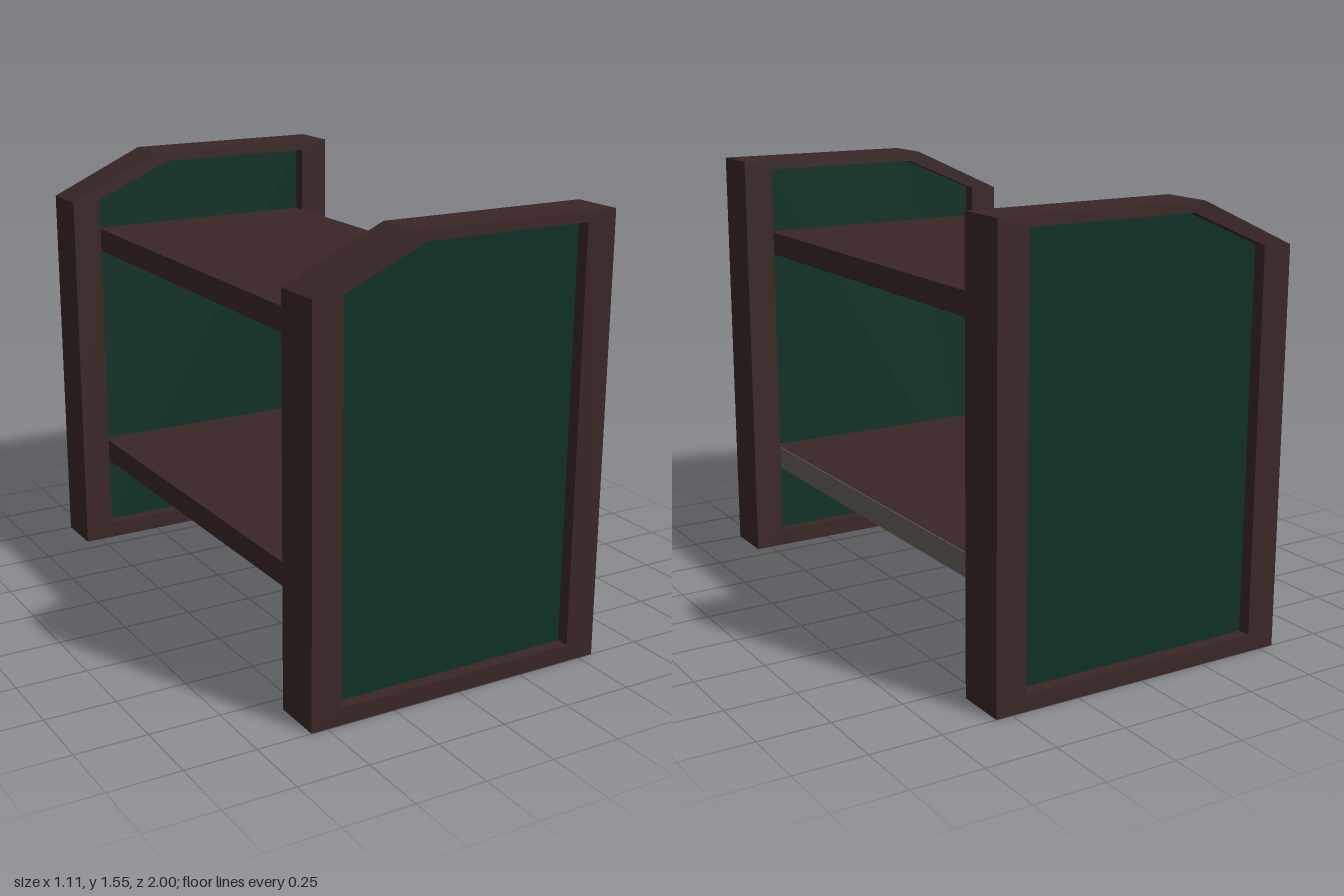
import * as THREE from 'three';

const wood = new THREE.MeshStandardMaterial({ name: 'dark brown wood', color: 0x3a2626 });
const felt = new THREE.MeshStandardMaterial({ name: 'dark green panel', color: 0x0f3025 });
const metal = new THREE.MeshStandardMaterial({ name: 'grey trim', color: 0x66605a });

// Outlines run anticlockwise, with the cut corner at the upper -x side
const outer = [[-0.557, 0], [0.557, 0], [0.557, 1.555], [-0.2, 1.555], [-0.557, 1.39]];
const inner = [[-0.45, 0.06], [0.447, 0.06], [0.447, 1.52], [-0.16, 1.52], [-0.45, 1.393]];
const points = (list) => list.map(([x, y]) => new THREE.Vector2(x, y));

function extrude(name, shape, depth, z, material) {
  const geometry = new THREE.ExtrudeGeometry(shape, { depth, bevelEnabled: false });
  geometry.translate(0, 0, z - depth / 2);
  const mesh = new THREE.Mesh(geometry, material);
  mesh.name = name;
  return mesh;
}

function box(name, size, position, material) {
  const mesh = new THREE.Mesh(new THREE.BoxGeometry(...size), material);
  mesh.name = name;
  mesh.position.set(...position);
  return mesh;
}

export function createModel() {
  const group = new THREE.Group();
  group.name = 'shelfUnit';

  // End frames, each with a panel recessed on both faces
  const frameShape = new THREE.Shape(points(outer));
  frameShape.holes.push(new THREE.Path(points(inner).reverse()));
  const panelShape = new THREE.Shape(points(inner));
  for (const [side, name] of [[1, 'front'], [-1, 'back']]) {
    const end = new THREE.Group();
    end.name = `${name}End`;
    end.add(extrude(`${name}Frame`, frameShape, 0.184, side * 0.908, wood));
    end.add(extrude(`${name}Panel`, panelShape, 0.09, side * 0.908, felt));
    group.add(end);
  }

  // Two shelves reach into the panel recesses
  for (const [name, y] of [['lowerShelf', 0.368], ['upperShelf', 1.232]]) {
    group.add(box(name, [0.885, 0.085, 1.73], [0, y, 0], wood));
  }

  // Grey strip along the left edge of the lower shelf
  group.add(box('shelfTrim', [0.004, 0.085, 1.73], [0.4445, 0.368, 0], metal));
  return group;
}
